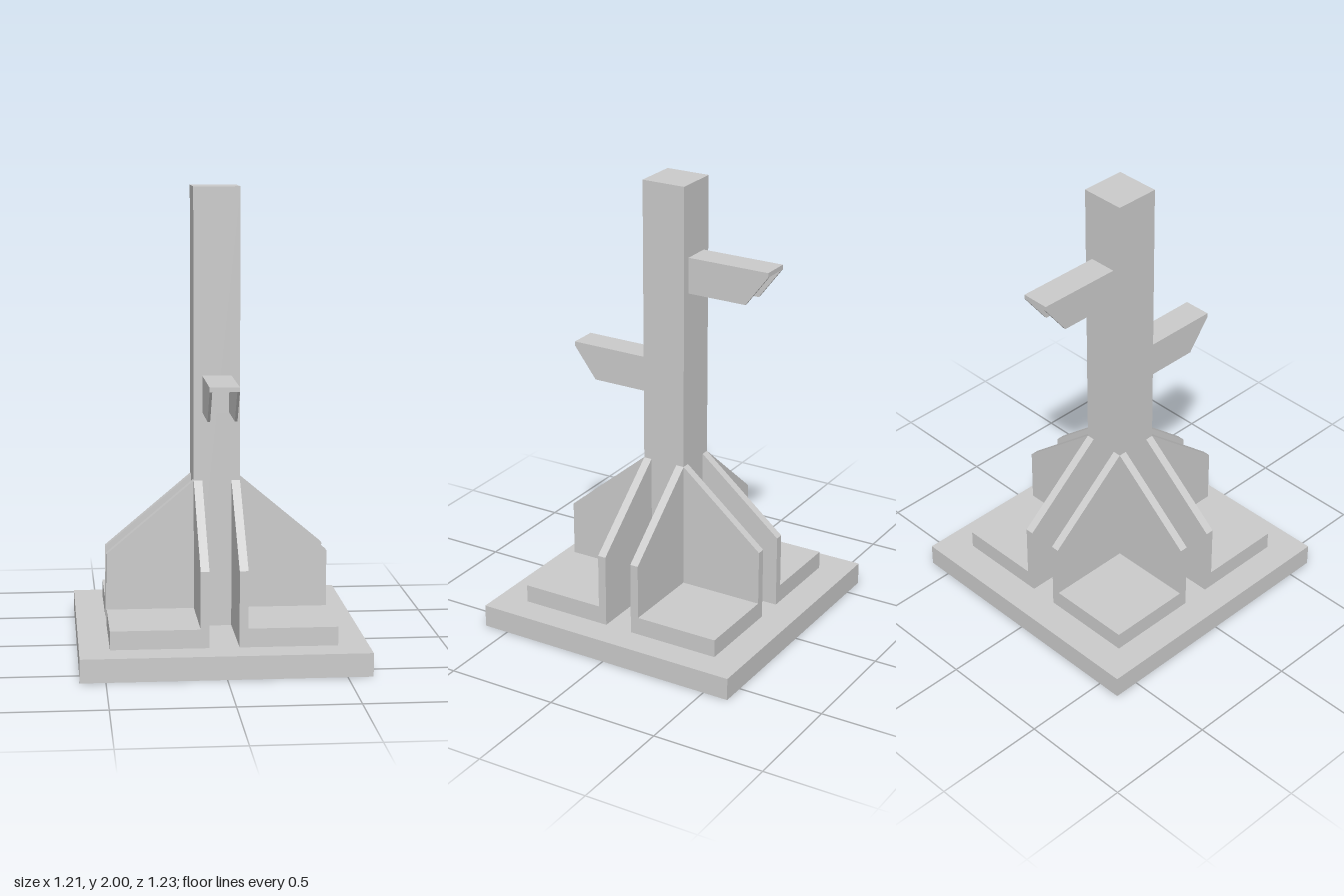
import * as THREE from 'three';

const material = new THREE.MeshStandardMaterial({ color: 0xcccccc, flatShading: true });

function box(name, x0, x1, y0, y1, z0, z1) {
  const mesh = new THREE.Mesh(new THREE.BoxGeometry(x1 - x0, y1 - y0, z1 - z0), material);
  mesh.position.set((x0 + x1) / 2, (y0 + y1) / 2, (z0 + z1) / 2);
  mesh.name = name;
  return mesh;
}

// Upright plate with a [reach, height] profile, running out along +x, from z0 to z1
function plate(name, profile, z0, z1) {
  const shape = new THREE.Shape(profile.map(([r, y]) => new THREE.Vector2(r, y)));
  const geometry = new THREE.ExtrudeGeometry(shape, { depth: z1 - z0, bevelEnabled: false });
  geometry.translate(0, 0, z0);
  const mesh = new THREE.Mesh(geometry, material);
  mesh.name = name;
  return mesh;
}

const P = 0.1;       // half width of the post
const R = 0.478;     // reach of gussets and brackets
const INNER = 0.063; // inner face of the gussets

// L-shaped corner: two sloped gussets and the foot plate between them
function cornerBrace() {
  const group = new THREE.Group();
  group.name = 'cornerBrace';
  const profile = [[P, 0.1], [R, 0.1], [R, 0.425], [P, 0.742], [INNER, 0.742], [INNER, 0.1]];
  const sideGusset = plate('sideGusset', profile, INNER, P);
  const frontGusset = plate('frontGusset', profile, -P, -INNER);
  frontGusset.rotation.y = -Math.PI / 2;
  group.add(sideGusset, frontGusset, box('footPlate', P, R, 0.1, 0.18, P, R));
  return group;
}

// Channel open at the bottom and outer end, pointing along +x
function stepBracket(bottom) {
  const group = new THREE.Group();
  group.name = 'stepBracket';
  const w = 0.0625, t = 0.011, top = 0.158, lip = 0.138;
  const profile = [[P, 0], [0.373, 0], [R, lip], [R, top], [P, top]];
  group.add(
    plate('bracketSide', profile, w - t, w),
    plate('bracketSide', profile, -w, -w + t),
    box('bracketTop', P, R, lip, top, -w + t, w - t),
    box('bracketBack', P, P + t, 0, lip, -w + t, w - t)
  );
  group.position.y = bottom;
  return group;
}

export function createModel() {
  const model = new THREE.Group();
  model.name = 'bracedPost';
  model.add(
    box('basePlate', -0.607, 0.607, 0, 0.1, -0.615, 0.615),
    box('post', -P, P, 0.1, 2, -P, P)
  );

  // Braces in all four corners
  for (let i = 0; i < 4; i++) {
    const brace = cornerBrace();
    brace.rotation.y = i * Math.PI / 2;
    model.add(brace);
  }

  // Lower step at the front, upper step at the back
  const frontStep = stepBracket(1.038);
  frontStep.rotation.y = -Math.PI / 2;
  const backStep = stepBracket(1.526);
  backStep.rotation.y = Math.PI / 2;
  model.add(frontStep, backStep);
  return model;
}
